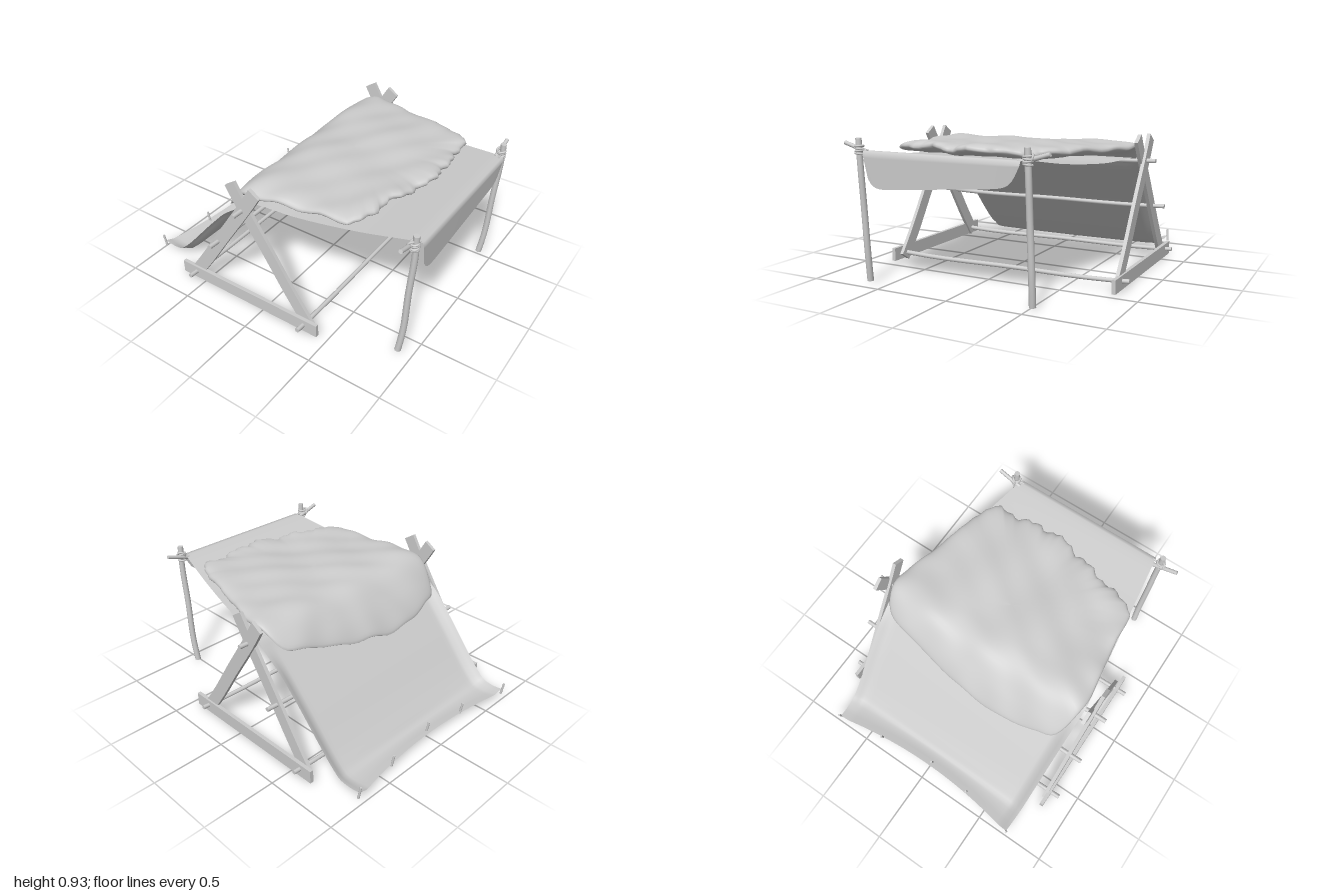
import * as THREE from 'three';

const V = (x, y, z) => new THREE.Vector3(x, y, z);
const UP = V(0, 1, 0);
const grey = new THREE.MeshStandardMaterial({ color: 0xcccccc });
const cloth = new THREE.MeshStandardMaterial({ color: 0xcccccc, side: THREE.DoubleSide });

// Piecewise linear lookup in [[x, y], ...]
function lookup(table, x) {
  for (let i = 1; i < table.length; i++) {
    const [x0, y0] = table[i - 1], [x1, y1] = table[i];
    if (x <= x1) return y0 + (y1 - y0) * Math.max(0, (x - x0) / (x1 - x0));
  }
  return table[table.length - 1][1];
}

// Grid surface: fn(i, j) gives each point, optionally closed along j
function grid(rows, cols, fn, wrap = false) {
  const pos = [], index = [], n = wrap ? cols : cols + 1;
  for (let i = 0; i <= rows; i++)
    for (let j = 0; j < n; j++) pos.push(...fn(i, j).toArray());
  for (let i = 0; i < rows; i++)
    for (let j = 0; j < cols; j++) {
      const k = (j + 1) % n;
      const a = i * n + j, b = i * n + k, c = (i + 1) * n + k, d = (i + 1) * n + j;
      index.push(a, b, d, b, c, d);
    }
  const g = new THREE.BufferGeometry();
  g.setAttribute('position', new THREE.Float32BufferAttribute(pos, 3));
  g.setIndex(index);
  g.computeVertexNormals();
  return g;
}

function add(parent, name, geometry, material = grey) {
  const mesh = new THREE.Mesh(geometry, material);
  mesh.name = name;
  parent.add(mesh);
  return mesh;
}

// Lay a y-long geometry between two points, bowed sideways in the middle
function between(g, a, b, bend, dir) {
  const p = g.attributes.position, len = a.distanceTo(b);
  const q = new THREE.Quaternion().setFromUnitVectors(UP, b.clone().sub(a).normalize());
  const mid = a.clone().add(b).multiplyScalar(0.5);
  for (let i = 0; i < p.count; i++) {
    const t = p.getY(i) / len + 0.5;
    const v = V(p.getX(i), p.getY(i), p.getZ(i)).applyQuaternion(q).add(mid);
    v.addScaledVector(dir, bend * (Math.sin(t * Math.PI) + 0.35 * Math.sin(t * 9)));
    p.setXYZ(i, v.x, v.y, v.z);
  }
  g.computeVertexNormals();
  return g;
}
const stick = (a, b, r, bend = 0, dir = UP) =>
  between(new THREE.CylinderGeometry(r * 0.92, r, a.distanceTo(b), 12, 12), a, b, bend, dir);
const plank = (a, b, w, d, bend = 0, dir = V(1, 0, 0)) =>
  between(new THREE.BoxGeometry(w, a.distanceTo(b), d, 1, 12, 1), a, b, bend, dir);

// Side frame: ground board and two crossed legs
function sideFrame(name, zBoard, zLegA, zLegB, shift) {
  const f = new THREE.Group();
  f.name = name;
  add(f, 'groundBoard', plank(V(-0.69 + shift, 0.046, zBoard), V(0.43 + shift, 0.046, zBoard), 0.09, 0.025));
  add(f, 'rearLeg', plank(V(-0.6, 0.02, zLegA), V(-0.02, 0.895, zLegA), 0.088, 0.024, 0.008));
  add(f, 'frontLeg', plank(V(0.35, 0.02, zLegB), V(-0.22, 0.89, zLegB), 0.088, 0.024, -0.012));
  return f;
}

// Cover sheet: foot, slope, roof and hanging flap
function coverSheet() {
  const path = new THREE.CatmullRomCurve3([
    [-0.985, 0.04], [-0.89, 0.026], [-0.8, 0.032], [-0.73, 0.085], [-0.45, 0.4], [-0.2, 0.675], [-0.13, 0.752],
    [-0.05, 0.763], [0.2, 0.757], [0.6, 0.79], [0.96, 0.846], [0.987, 0.845], [0.995, 0.82],
  ].map(([x, y]) => V(x, y, 0)), false, 'centripetal');
  const left = [[-0.98, 0.71], [-0.13, 0.74], [0.995, 0.58]];
  const right = [[-0.98, -0.74], [-0.13, -0.765], [0.995, -0.485]];
  const rows = 84, flapRows = 12, cols = 48;
  return grid(rows + flapRows, cols, (i, j) => {
    const s = (j / cols) * 2 - 1, u = Math.min(1, i / rows);
    const p = path.getPointAt(u), t = path.getTangentAt(u);
    const z0 = lookup(right, p.x), z1 = lookup(left, p.x);
    let z = z0 + (z1 - z0) * (s + 1) / 2;
    const foot = THREE.MathUtils.smoothstep(-p.x, 0.72, 0.98);
    // raised side hems on the slope, hollowed foot edge
    const curl = 0.045 * THREE.MathUtils.smoothstep(-p.x, 0.12, 0.35) * THREE.MathUtils.smoothstep(Math.abs(s), 0.9, 1);
    p.x += -t.y * curl + 0.08 * foot * (1 - s * s);
    p.y += t.x * curl * (1 - 0.5 * foot);
    // flap with a slanted, round-cornered lower edge
    if (i > rows) {
      const k = (i - rows) / flapRows;
      const bottom = 0.65 - 0.042 * s + 0.07 * Math.pow(Math.abs(s), 14);
      p.y += (bottom - p.y) * k;
      z -= 0.03 * s * k;
      p.x -= 0.004 * k;
    }
    return V(p.x, p.y, z);
  });
}

// Thick lumpy hide draped over the ridge
function hide() {
  const outline = new THREE.CatmullRomCurve3([
    [0.75, -0.05], [0.71, 0.15], [0.64, 0.37], [0.565, 0.63], [0.32, 0.67], [0.06, 0.71], [-0.13, 0.73], [-0.35, 0.66],
    [-0.39, 0.54], [-0.43, 0.24], [-0.41, -0.1], [-0.36, -0.4], [-0.29, -0.69], [-0.15, -0.755], [-0.02, -0.745],
    [0.17, -0.69], [0.6, -0.575], [0.69, -0.53], [0.73, -0.3],
  ].map(([x, z]) => V(x, 0, z)), true, 'centripetal');
  const drape = new THREE.SplineCurve([
    [-0.46, 0.5], [-0.4, 0.575], [-0.32, 0.675], [-0.22, 0.775], [-0.12, 0.816],
    [0.02, 0.825], [0.25, 0.83], [0.5, 0.838], [0.8, 0.857],
  ].map((p) => new THREE.Vector2(...p))).getPoints(90).map((p) => [p.x, p.y]);
  const n = 144, half = 22;
  const rim = outline.getSpacedPoints(n);
  return grid(half * 2, n, (i, j) => {
    const top = i <= half, m = top ? i / half : (2 * half - i) / half;
    const r = 1 - Math.pow(1 - m, 1.6);
    const e = rim[j], ragged = Math.max(0, e.x) * 0.016 * (Math.sin(j * 1.9) + Math.sin(j * 0.83));
    const x = 0.15 + (e.x - 0.15 + ragged) * r, z = -0.02 + (e.z + 0.02) * r;
    const body = Math.sqrt(Math.max(0, 1 - Math.pow(r, 10)));
    const lump = 0.006 * Math.sin(x * 9 + z * 4) + 0.005 * Math.sin(z * 13 - x * 5) + 0.003 * Math.sin(x * 23 + z * 17);
    const y = lookup(drape, x) + (top ? 0.045 : -0.035) * body + lump - 0.014 * z
      + 0.008 * Math.sin(j * 0.7) * Math.pow(r, 8);
    return V(x, y, z);
  }, true);
}

// Front post with lashing and a short cross stick
function frontPost(name, z, side) {
  const g = new THREE.Group();
  g.name = name;
  const foot = V(0.905, 0.01, z), head = V(0.968, 0.92, z);
  add(g, 'post', stick(foot, head, 0.021, 0.012, V(1, 0, -0.6)));
  add(g, 'crossStick', stick(V(0.94, 0.835, z - side * 0.04), V(0.945, 0.885, z + side * 0.125), 0.014));
  for (let i = 0; i < 4; i++) {
    const ring = add(g, 'lashing', new THREE.TorusGeometry(0.025, 0.007, 8, 20));
    ring.position.set(0.962, 0.825 + i * 0.015, z);
    ring.rotation.set(Math.PI / 2 + (i % 2 ? 0.12 : -0.12), 0.07, 0);
  }
  const knot = add(g, 'knot', new THREE.TorusGeometry(0.026, 0.007, 8, 20));
  knot.position.set(0.952, 0.86, z + side * 0.012);
  knot.rotation.set(0.5 * side, 0.7, 0);
  add(g, 'tie', stick(V(0.962, 0.845, z), V(0.97, 0.847, z - side * 0.06), 0.006));
  return g;
}

export function createModel() {
  const model = new THREE.Group();
  model.name = 'leanToShelter';

  model.add(sideFrame('frontFrame', 0.812, 0.796, 0.778, 0));
  model.add(sideFrame('backFrame', -0.832, -0.802, -0.82, 0.02));

  // Cross poles joining the frames
  for (const [x, y, bend] of [[-0.575, 0.052, -0.014], [-0.355, 0.402, -0.012], [-0.127, 0.738, -0.01], [0.328, 0.052, -0.016]])
    add(model, 'crossPole', stick(V(x, y, 0.885), V(x, y + 0.008, -0.89), 0.0155, bend));

  model.add(frontPost('leftPost', 0.63, 1), frontPost('rightPost', -0.52, -1));

  add(model, 'coverSheet', coverSheet(), cloth);
  add(model, 'hide', hide());

  // Pegs along the foot of the sheet
  for (const [x, z] of [[-0.97, -0.745], [-0.925, -0.4], [-0.872, 0.005], [-0.905, 0.325], [-0.975, 0.71]])
    add(model, 'groundPeg', stick(V(x, 0.022, z), V(x - 0.014, 0.108, z + 0.005), 0.008));

  return model;
}
